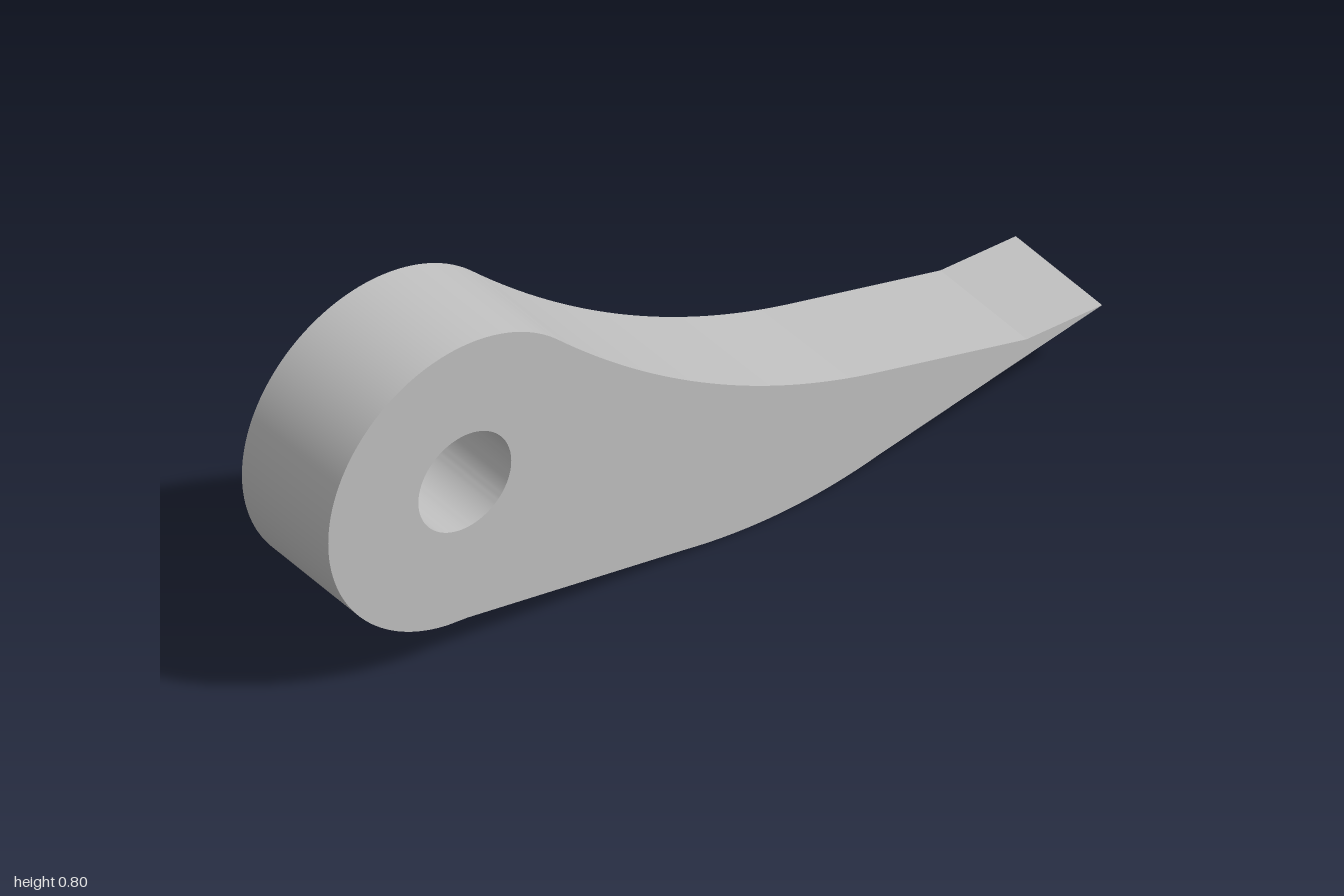
import * as THREE from 'three';
import { toCreasedNormals } from 'three/addons/utils/BufferGeometryUtils.js';

const DEPTH = 0.296;
const HUB = { x: -0.647, y: 0.451, r: 0.353, bore: 0.12 };

export function createModel() {
  const grey = new THREE.MeshStandardMaterial({ color: 0xc0c0c0 });
  grey.name = 'plain grey';

  // Lever outline: round hub, concave upper edge, pointed tip, bowed lower edge
  const outline = new THREE.Shape();
  outline.absarc(HUB.x, HUB.y, HUB.r, THREE.MathUtils.degToRad(47), THREE.MathUtils.degToRad(263), false);
  outline.lineTo(-0.64, 0.097);
  outline.lineTo(-0.08, 0.018);
  outline.quadraticCurveTo(0.179, -0.025, 0.42, 0.035);
  outline.lineTo(1, 0.161);
  outline.lineTo(0.805, 0.161);
  outline.lineTo(0.42, 0.25);
  outline.quadraticCurveTo(-0.026, 0.353, -0.406, 0.709);

  // Pivot hole through the hub
  const bore = new THREE.Path();
  bore.absarc(HUB.x, HUB.y, HUB.bore, 0, Math.PI * 2, true);
  outline.holes.push(bore);

  const extruded = new THREE.ExtrudeGeometry(outline, {
    depth: DEPTH, bevelEnabled: false, curveSegments: 48,
  });
  extruded.translate(0, 0, -DEPTH / 2);

  const lever = new THREE.Mesh(toCreasedNormals(extruded, 0.2), grey);
  lever.name = 'leverBody';

  const model = new THREE.Group();
  model.name = 'camLever';
  model.add(lever);
  return model;
}
